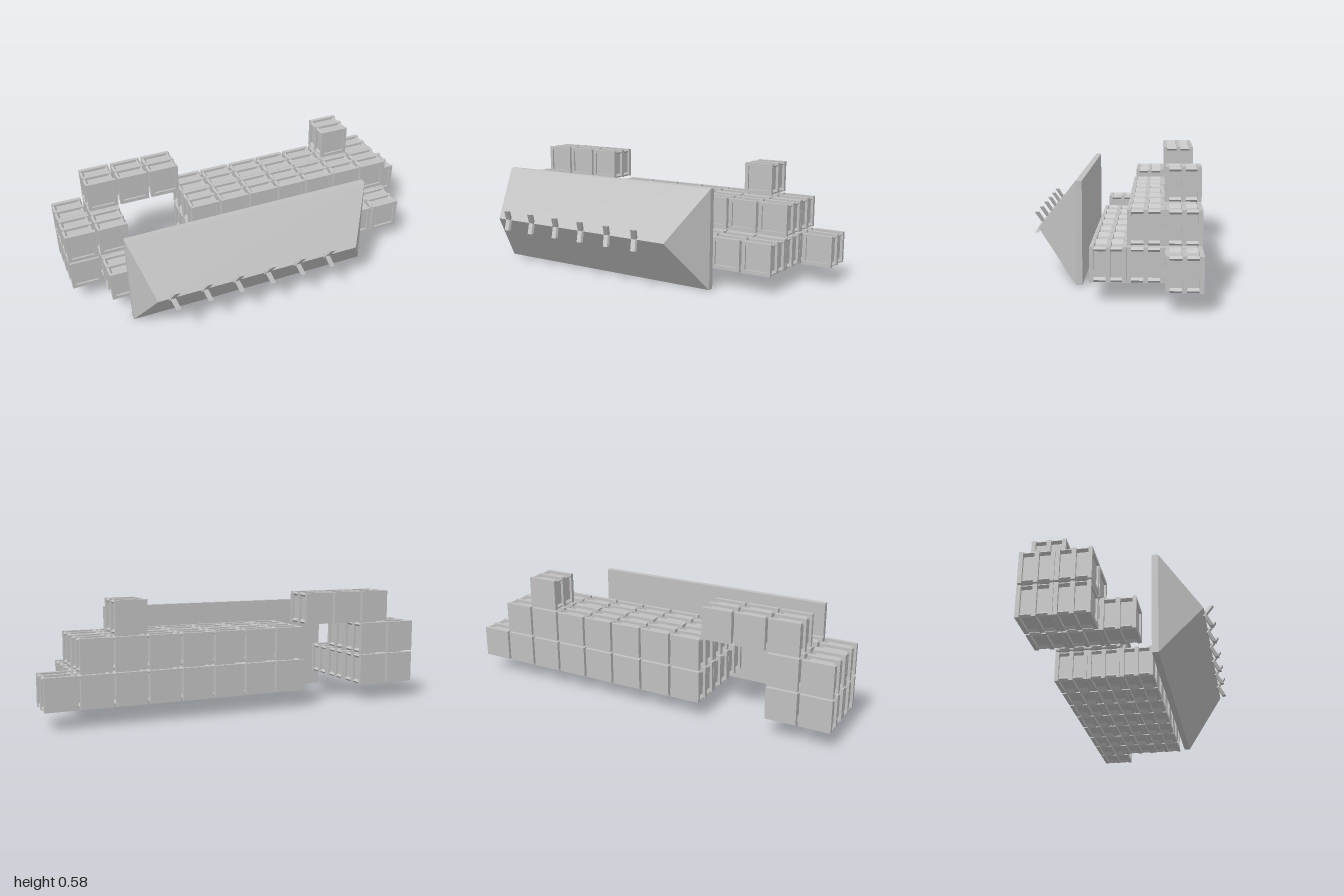
import * as THREE from 'three';
import { mergeGeometries } from 'three/addons/utils/BufferGeometryUtils.js';
import { ConvexGeometry } from 'three/addons/geometries/ConvexGeometry.js';

const W = 0.155, H = 0.159, D = 0.165;             // crate size
const PITCH_X = 0.1677, PITCH_Y = 0.168, PITCH_Z = 0.1665;

function rectPoints(w, h) {
  return [[-w, -h], [w, -h], [w, h], [-w, h]].map(([x, y]) => new THREE.Vector2(x / 2, y / 2));
}

function extrude(shape, depth, z) {
  return new THREE.ExtrudeGeometry(shape, { depth, bevelEnabled: false }).translate(0, 0, z);
}

// Cross-section between the ribs: sunken sides with chamfered corner rails
function bandShape() {
  const w = W / 2, h = H / 2, r = 0.013;
  const corner = [[w - r, h - 0.021], [w, h - 0.01], [w - 0.01, h], [w - 0.021, h - r]];
  const points = [];
  for (const [sx, sy] of [[1, 1], [-1, 1], [-1, -1], [1, -1]]) {
    const order = sx * sy > 0 ? corner : [...corner].reverse();
    for (const [x, y] of order) points.push(new THREE.Vector2(x * sx, y * sy));
  }
  return new THREE.Shape(points);
}

// Crate centred on x and y, front at z = D/2
function crateGeometry() {
  const full = new THREE.Shape(rectPoints(W, H));
  const ring = new THREE.Shape(rectPoints(W, H));
  ring.holes.push(new THREE.Path(rectPoints(W - 0.038, H - 0.038).reverse()));
  const f = D / 2;
  return mergeGeometries([
    extrude(ring, 0.010, f - 0.010),               // front frame
    extrude(full, 0.008, f - 0.018),               // sunken front panel
    extrude(bandShape(), D - 0.036, -f + 0.018),   // sunken bands
    extrude(full, 0.021, f - 0.093),               // middle rib
    extrude(full, 0.020, -f),                      // flat back
  ]);
}

// One prong: a small box sheared from its root to its tip
function prongGeometry(yRoot, yTip) {
  const geo = new THREE.BoxGeometry(0.026, 1, 0.018);
  const p = geo.attributes.position;
  const tipIsTop = yTip > yRoot;
  for (let i = 0; i < p.count; i++) {
    const atTip = (p.getY(i) > 0) === tipIsTop;
    p.setXYZ(i, p.getX(i) + (atTip ? 0 : -0.022), atTip ? yTip : yRoot, p.getZ(i) + (atTip ? 0.402 : 0.362));
  }
  const flat = geo.toNonIndexed();
  flat.computeVertexNormals();
  return flat;
}

export function createModel() {
  const model = new THREE.Group();
  const grey = new THREE.MeshStandardMaterial({ color: 0xc0c0c0 });
  grey.name = 'plain grey';

  const add = (name, geometry, parent = model) => {
    const mesh = new THREE.Mesh(geometry, grey);
    mesh.name = name;
    parent.add(mesh);
    return mesh;
  };

  // Wall: thin upright plate with a wedge rising to a central ridge
  const wall = [];
  for (const x of [-0.755, 0.55])
    for (const y of [0, 0.502])
      for (const z of [0.145, 0.175]) wall.push(new THREE.Vector3(x, y, z));
  wall.push(new THREE.Vector3(-0.67, 0.25, 0.372), new THREE.Vector3(0.41, 0.25, 0.372));
  add('wedgeWall', new ConvexGeometry(wall));

  // Forked hooks along the ridge
  const hook = mergeGeometries([prongGeometry(0.238, 0.304), prongGeometry(0.266, 0.2)]);
  for (let i = 0; i < 6; i++) add('forkedHook', hook).position.x = -0.58 + i * 0.1675;

  // Crate stacks: number of rows from the back, per column, for each tier
  const tiers = [
    [2, 3, 0, 0, 3, 3, 3, 3, 3, 3, 3, 1],
    [2, 2, 0, 0, 2, 2, 2, 2, 2, 2, 2, 0],
    [0, 1, 1, 1, 0, 0, 0, 0, 0, 1, 0, 0],
  ];
  const crate = crateGeometry();
  const crates = new THREE.Group();
  crates.name = 'crateStacks';
  model.add(crates);
  tiers.forEach((rows, tier) => rows.forEach((count, col) => {
    for (let row = 0; row < count; row++) {
      add('crate', crate, crates).position.set(
        -1 + W / 2 + col * PITCH_X,
        0.088 + H / 2 + tier * PITCH_Y,
        -0.41 + D / 2 + row * PITCH_Z);
    }
  }));
  return model;
}
